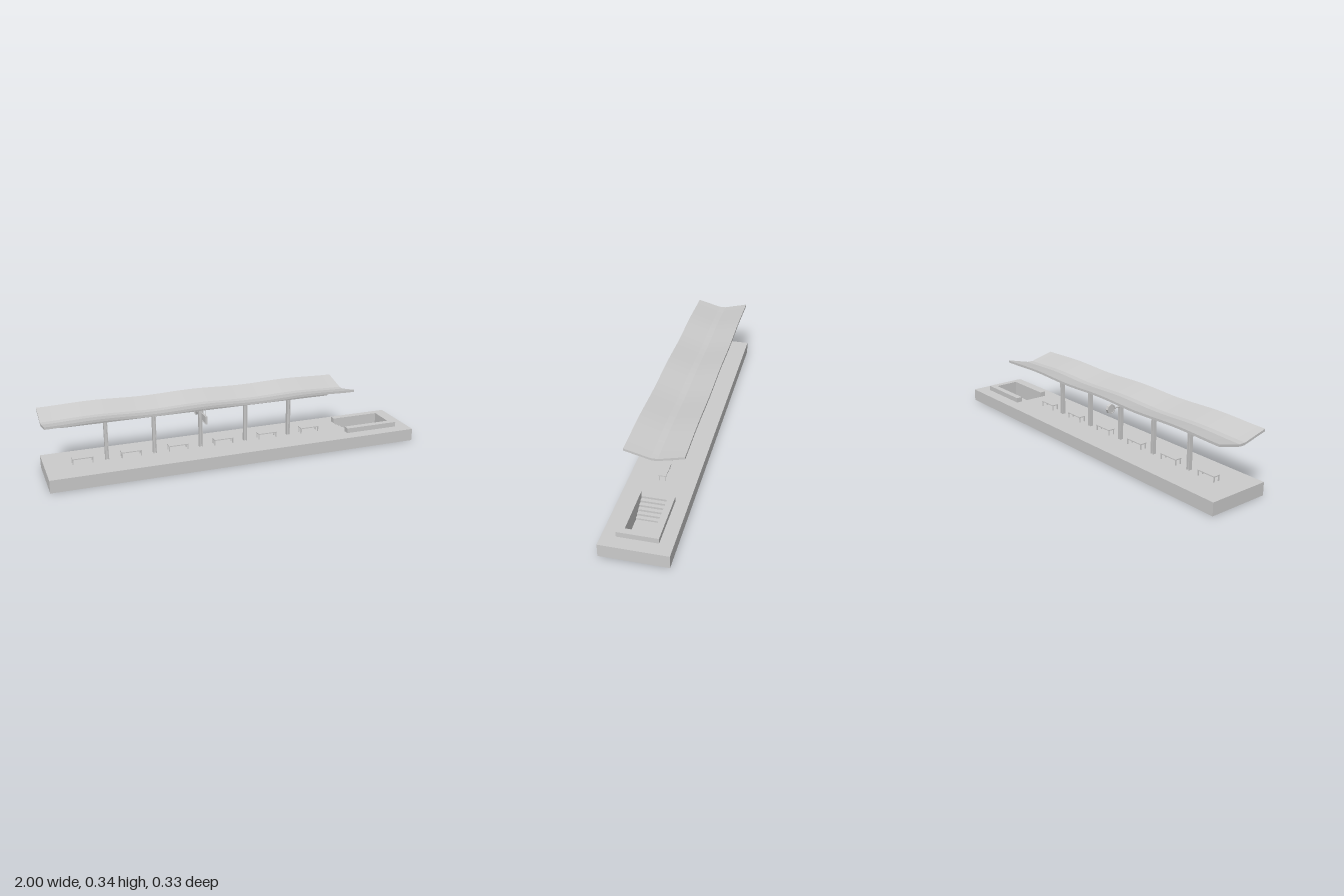
import * as THREE from 'three';
import { toCreasedNormals } from 'three/addons/utils/BufferGeometryUtils.js';

const material = new THREE.MeshStandardMaterial({ color: 0xcccccc });

function add(parent, name, geometry, x = 0, y = 0, z = 0) {
  const mesh = new THREE.Mesh(geometry, material);
  mesh.name = name;
  mesh.position.set(x, y, z);
  parent.add(mesh);
  return mesh;
}

// Box given by its lower and upper corners
function block(parent, name, [x0, y0, z0], [x1, y1, z1]) {
  return add(parent, name, new THREE.BoxGeometry(x1 - x0, y1 - y0, z1 - z0),
    (x0 + x1) / 2, (y0 + y1) / 2, (z0 + z1) / 2);
}

const polygon = (points) => new THREE.Shape(points.map(([x, y]) => new THREE.Vector2(x, y)));
const extrude = (shape, depth, steps = 1) =>
  new THREE.ExtrudeGeometry(shape, { depth, steps, bevelEnabled: false });
const rect = (x0, y0, x1, y1) => polygon([[x0, y0], [x1, y0], [x1, y1], [x0, y1]]);
const withHole = (outer, inner) => { outer.holes.push(inner); return outer; };

const DECK = 0.067, MID = -0.185, SPACING = 0.25;

function makePlatform() {
  const g = new THREE.Group();
  g.name = 'platform';
  block(g, 'platformBase', [-1, 0, -0.167], [1, 0.006, 0.167]);
  const slab = withHole(rect(-1, -0.167, 1, 0.167), rect(0.63, -0.067, 0.897, 0.067));
  add(g, 'platformSlab', extrude(slab, DECK - 0.006).rotateX(-Math.PI / 2), 0, 0.006, 0);

  // Stairs going down from the open end of the parapet
  for (let i = 0; i < 5; i++) {
    block(g, 'stairStep', [0.63 + 0.02 * i, 0.006, -0.067],
      [0.65 + 0.02 * i, DECK - 0.0105 * (i + 1), 0.067]);
  }
  // U-shaped parapet around the stairwell
  const wall = polygon([[0.63, -0.1], [0.93, -0.1], [0.93, 0.1], [0.63, 0.1],
    [0.63, 0.067], [0.897, 0.067], [0.897, -0.067], [0.63, -0.067]]);
  add(g, 'stairParapet', extrude(wall, 0.027).rotateX(-Math.PI / 2), 0, DECK, 0);
  return g;
}

function makeRoof() {
  // V-shaped section swept along x, with three gentle waves
  const length = 1.63;
  const section = polygon([[-0.147, 0.321], [-0.013, 0.288], [0.013, 0.288], [0.147, 0.321],
    [0.147, 0.333], [0.017, 0.300], [-0.017, 0.300], [-0.147, 0.333]]);
  const geometry = extrude(section, length, 48).rotateY(Math.PI / 2).translate(-1, 0, 0);
  const p = geometry.attributes.position;
  for (let i = 0; i < p.count; i++) {
    const t = (p.getX(i) + 1) / length;
    p.setY(i, p.getY(i) + 0.0035 * (1 - Math.cos(t * 6 * Math.PI)));
  }
  const mesh = new THREE.Mesh(toCreasedNormals(geometry, 0.2), material);
  mesh.name = 'roof';
  return mesh;
}

function makeBeam() {
  // Ridge beam, tapering downwards on all sides
  const geometry = new THREE.BoxGeometry(1.5, 0.026, 0.032);
  const p = geometry.attributes.position;
  for (let i = 0; i < p.count; i++) {
    if (p.getY(i) < 0) {
      p.setX(i, p.getX(i) - Math.sign(p.getX(i)) * 0.025);
      p.setZ(i, p.getZ(i) * 0.62);
    }
  }
  geometry.computeVertexNormals();
  const mesh = new THREE.Mesh(geometry, material);
  mesh.name = 'roofBeam';
  mesh.position.set(MID, 0.281, 0);
  return mesh;
}

function makeColumn(x) {
  // H-section post
  const section = polygon([[-0.009, -0.01], [-0.005, -0.01], [-0.005, -0.002], [0.005, -0.002],
    [0.005, -0.01], [0.009, -0.01], [0.009, 0.01], [0.005, 0.01],
    [0.005, 0.002], [-0.005, 0.002], [-0.005, 0.01], [-0.009, 0.01]]);
  const mesh = new THREE.Mesh(extrude(section, 0.205).rotateX(-Math.PI / 2), material);
  mesh.name = 'column';
  mesh.position.set(x, DECK, 0);
  return mesh;
}

function makeBench(x) {
  const g = new THREE.Group();
  g.name = 'bench';
  g.position.set(x, DECK, 0);
  block(g, 'benchSeat', [-0.053, 0.026, -0.019], [0.053, 0.031, 0.019]);
  for (const sx of [-1, 1]) for (const sz of [-1, 1]) {
    add(g, 'benchLeg', new THREE.BoxGeometry(0.005, 0.027, 0.005), sx * 0.05, 0.0135, sz * 0.015);
  }
  return g;
}

function makeSign() {
  const g = new THREE.Group();
  g.name = 'hangingSign';
  g.position.x = MID;
  const frame = withHole(rect(-0.103, 0.226, -0.037, 0.268), rect(-0.099, 0.23, -0.041, 0.264));
  add(g, 'signFrame', extrude(frame, 0.01).rotateY(Math.PI / 2), -0.005);
  block(g, 'signPanel', [-0.003, 0.229, 0.04], [0.003, 0.265, 0.1]);
  for (const [z, top] of [[0.091, 0.312], [0.048, 0.302]]) {
    block(g, 'signRod', [-0.0015, 0.267, z - 0.0015], [0.0015, top, z + 0.0015]);
  }
  return g;
}

function makeClock() {
  const g = new THREE.Group();
  g.name = 'clock';
  g.position.set(MID, 0.248, -0.068);
  const octagon = (r) => polygon(Array.from({ length: 8 }, (_, i) =>
    [r * Math.cos(i * Math.PI / 4), r * Math.sin(i * Math.PI / 4)]));
  add(g, 'clockRim', extrude(withHole(octagon(0.026), octagon(0.021)), 0.016)
    .rotateY(Math.PI / 2), -0.008);
  add(g, 'clockFace', extrude(octagon(0.0215), 0.01).rotateY(Math.PI / 2), -0.005);
  // A pair of hands on each face
  for (const side of [-1, 1]) {
    const hand = add(g, 'clockHands', new THREE.BoxGeometry(0.001, 0.0015, 0.023),
      side * 0.0055, 0.003, -0.004);
    hand.rotation.x = Math.PI / 4;
  }
  const arm = new THREE.CylinderGeometry(0.0045, 0.0045, 0.036, 8).rotateX(Math.PI / 2);
  add(g, 'clockArm', arm, 0, 0, 0.042);
  return g;
}

export function createModel() {
  const model = new THREE.Group();
  model.name = 'stationPlatform';
  model.add(makePlatform(), makeRoof(), makeBeam(), makeSign(), makeClock());
  for (let i = 0; i < 5; i++) model.add(makeColumn(MID + (i - 2) * SPACING));
  for (let i = 0; i < 6; i++) model.add(makeBench(MID + (i - 2.5) * SPACING));
  return model;
}
